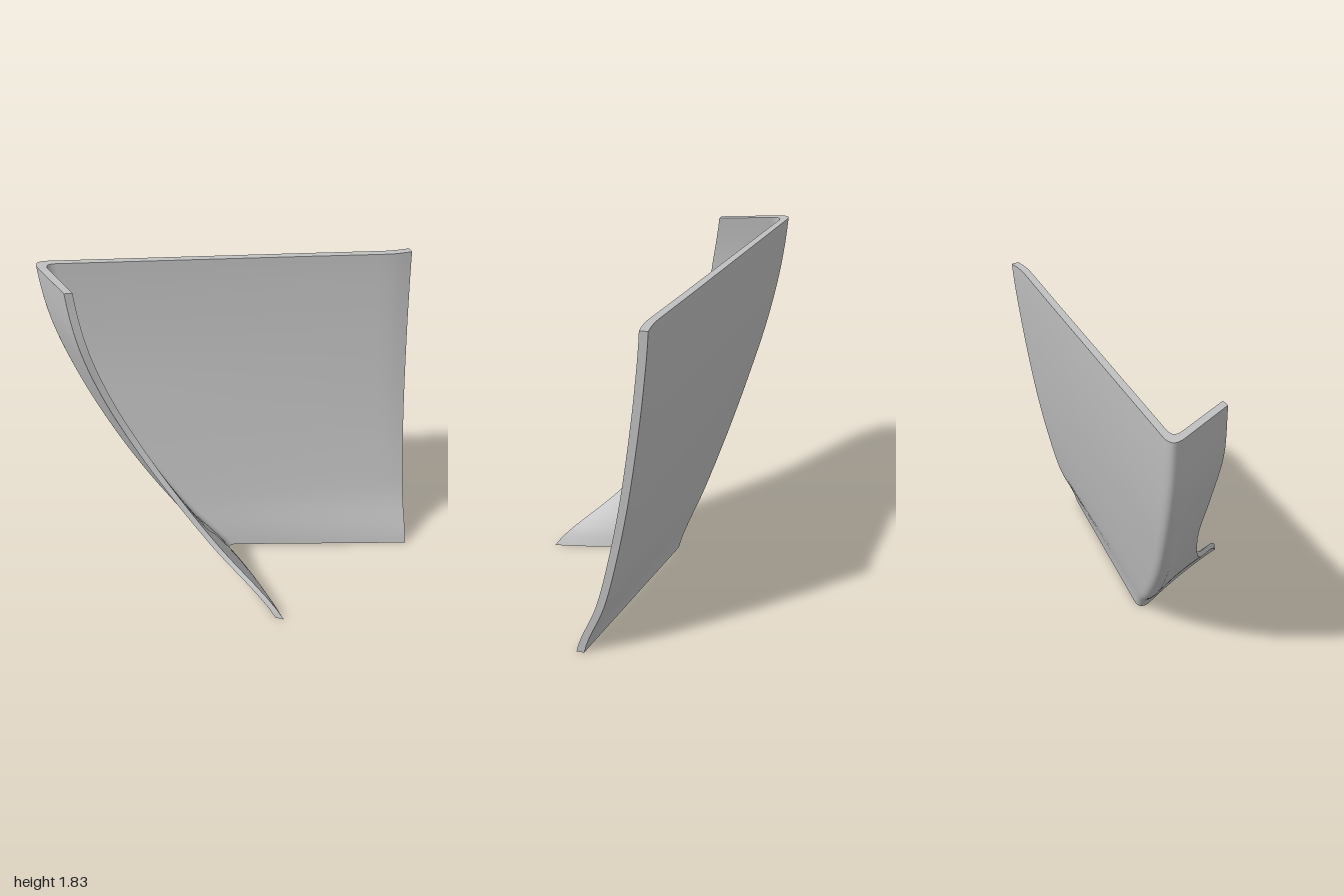
import * as THREE from 'three';

const HEIGHT = 1.83, LEVELS = 36;

// Outlines sampled at seven even heights, bottom to top, then splined.
const spline = (values) => new THREE.SplineCurve(values.map((v, i) => new THREE.Vector2(i, v)));
const cornerX = spline([-0.125, -0.36, -0.566, -0.733, -0.865, -0.96, -1.0]);
const cornerZ = spline([-0.15, -0.258, -0.355, -0.44, -0.515, -0.567, -0.593]);
const endZ = spline([0.113, 0.0, -0.073, -0.13, -0.174, -0.21, -0.235]);
const tipX = spline([0.04, -0.245, -0.46, -0.633, -0.762, -0.85, -0.89]);
const tipZ = spline([0.585, 0.225, 0.02, -0.115, -0.16, -0.17, -0.2]);

// Horizontal section: free end -> panel -> rounded corner -> flange tip.
function section(t, inner) {
  const at = (curve) => curve.getPoint(t).y;
  const end = new THREE.Vector2(1, at(endZ) + (inner ? 0.042 : 0));
  const corner = new THREE.Vector2(at(cornerX) - 0.017, at(cornerZ) - 0.017);
  const tip = new THREE.Vector2(at(tipX), at(tipZ));
  if (inner) {
    corner.x += 0.06;
    corner.y += 0.05;
    tip.x += 0.043;
  } else {
    tip.y -= 0.03 - 0.025 * t;
  }
  const radius = inner ? 0.065 : 0.09;
  const a = corner.clone().add(end.clone().sub(corner).setLength(radius));
  const b = corner.clone().add(tip.clone().sub(corner).setLength(radius));
  const points = [end];

  // panel, slightly flattened near its free end towards the top
  for (const [s, lift] of [[0.03, 0.012], [0.06, 0.02], [0.1, 0.02], [0.3, 0.014], [0.5, 0.01], [0.7, 0.006], [0.85, 0.003]]) {
    const p = end.clone().lerp(a, s);
    p.y += lift * t;
    points.push(p);
  }
  // rounded corner
  points.push(...new THREE.QuadraticBezierCurve(a, corner, b).getPoints(10));
  // flange, gently bowed near the bottom
  for (let i = 1; i <= 8; i++) {
    const s = i / 8, p = b.clone().lerp(tip, s);
    p.x += 0.06 * s * (1 - s) * (1 - t);
    points.push(p);
  }
  return points.map((p) => new THREE.Vector3(p.x, t * HEIGHT, p.y));
}

// Surface through rows of points.
function skin(rows, flip) {
  const n = rows[0].length, index = [];
  for (let j = 0; j < rows.length - 1; j++) {
    for (let i = 0; i < n - 1; i++) {
      const a = j * n + i, b = a + 1, c = b + n, d = a + n;
      if (flip) index.push(a, c, b, a, d, c);
      else index.push(a, b, c, a, c, d);
    }
  }
  const geometry = new THREE.BufferGeometry().setFromPoints(rows.flat());
  geometry.setIndex(index);
  geometry.computeVertexNormals();
  return geometry;
}

export function createModel() {
  const group = new THREE.Group();
  group.name = 'curvedCornerPanel';
  const grey = new THREE.MeshStandardMaterial({ color: 0xc0c0c0 });
  grey.name = 'lightGrey';

  const outer = [], inner = [];
  for (let j = 0; j <= LEVELS; j++) {
    outer.push(section(j / LEVELS, false));
    inner.push(section(j / LEVELS, true));
  }
  const column = (rows, i) => rows.map((row) => row.at(i));

  const add = (name, rows, flip) => {
    const mesh = new THREE.Mesh(skin(rows, flip), grey);
    mesh.name = name;
    group.add(mesh);
  };
  add('outerSkin', outer, false);
  add('innerSkin', inner, true);
  // rims closing the thickness
  add('topRim', [outer[LEVELS], inner[LEVELS]], false);
  add('bottomRim', [outer[0], inner[0]], true);
  add('panelEndRim', [column(outer, 0), column(inner, 0)], false);
  add('flangeRim', [column(outer, -1), column(inner, -1)], true);
  return group;
}
